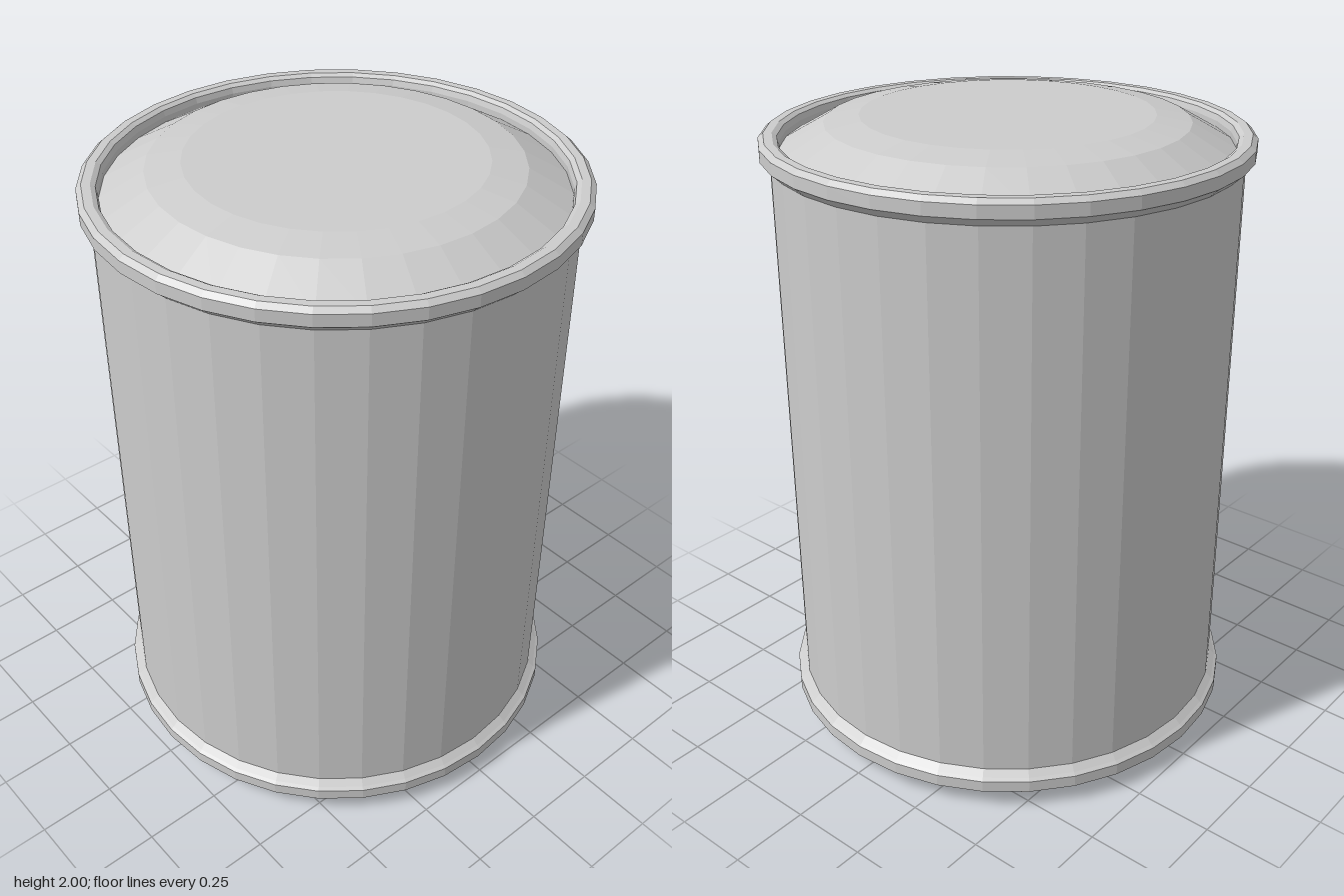
import * as THREE from 'three';

const SIDES = 32;
const HEIGHT = 2;

// Half-profiles as [radius, y], listed so the faces look outwards
const RIM = [
  [0.7, 1.872], [0.709, 1.874], [0.728, 1.892], [0.738, 1.9], [0.738, 1.938], [0.722, 1.952],
  [0.696, 1.952], [0.682, 1.943], [0.677, 1.925], [0.677, 1.89],
];
const END = [[0.685, 1.902], [0.545, 1.981], [0.44, 2], [0, 2]];

// The same profile at the bottom of the can
const flip = (profile) => profile.map(([r, y]) => [r, HEIGHT - y]).reverse();

export function createModel() {
  const model = new THREE.Group();
  model.name = 'can';
  const metal = new THREE.MeshStandardMaterial({ color: 0xcccccc });
  metal.name = 'grey metal';
  metal.flatShading = true;

  const turn = (name, profile) => {
    const points = profile.map(([r, y]) => new THREE.Vector2(r, y));
    const mesh = new THREE.Mesh(new THREE.LatheGeometry(points, SIDES), metal);
    mesh.name = name;
    model.add(mesh);
  };

  // Straight wall
  turn('wall', [[0.708, 0.1], [0.708, 1.9]]);

  // Rolled rims and domed ends, mirrored top to bottom
  turn('topRim', RIM);
  turn('bottomRim', flip(RIM));
  turn('topEnd', END);
  turn('bottomEnd', flip(END));

  return model;
}
